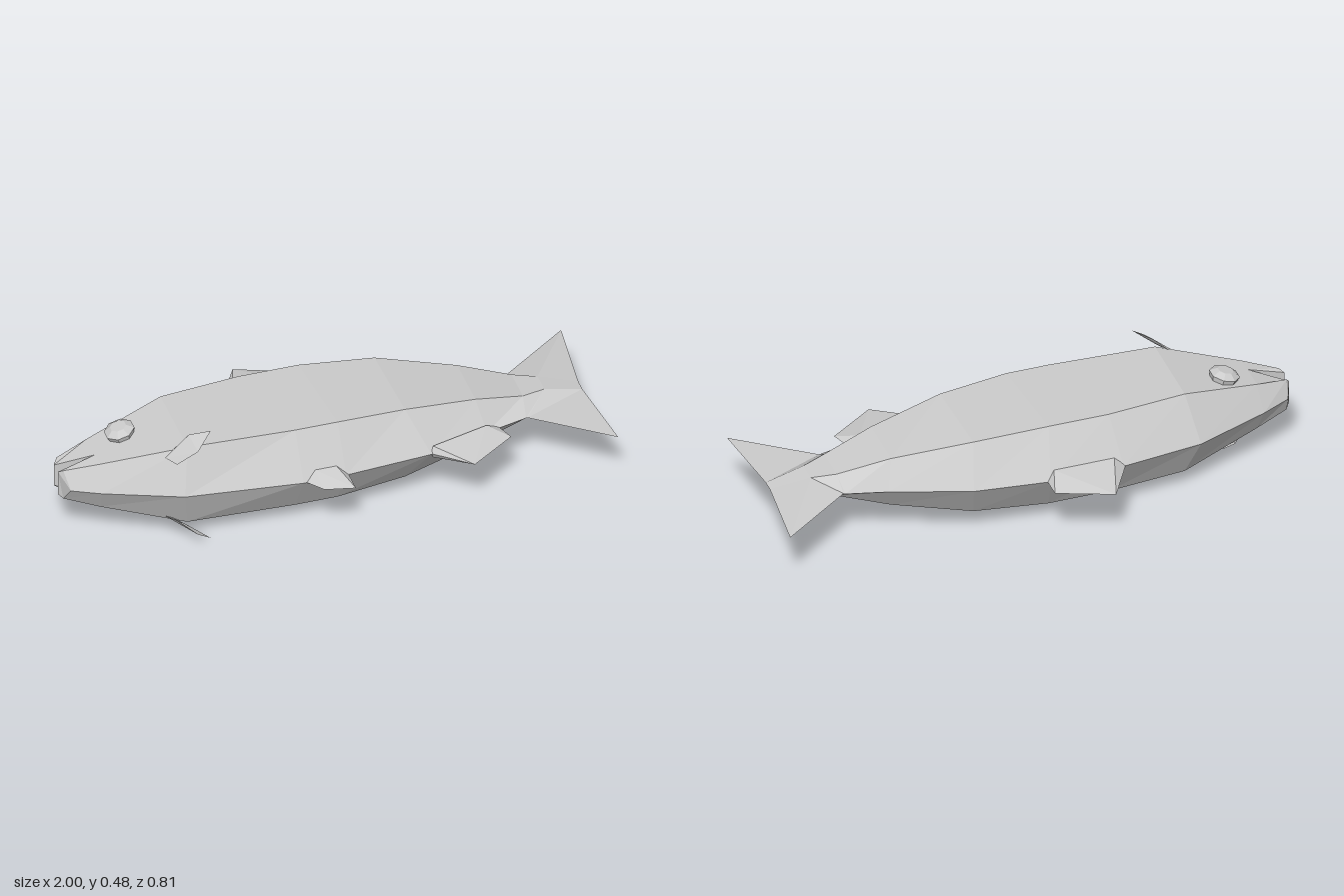
import * as THREE from 'three';
import { ConvexGeometry } from 'three/addons/geometries/ConvexGeometry.js';

const material = new THREE.MeshStandardMaterial({ color: 0xcccccc, flatShading: true, side: THREE.DoubleSide });

// Skins a list of equal-length rings running towards +x; each ring goes back -> +y -> belly -> -y.
function loft(rings, capStart, capEnd) {
  const n = rings[0].length, index = [];
  for (let r = 0; r < rings.length - 1; r++) {
    for (let k = 0; k < n; k++) {
      const a = r * n + k, b = r * n + (k + 1) % n;
      index.push(a, b, a + n, b, b + n, a + n);
    }
  }
  const last = (rings.length - 1) * n;
  for (let k = 1; k < n - 1; k++) {
    if (capStart) index.push(0, k + 1, k);
    if (capEnd) index.push(last, last + k, last + k + 1);
  }
  const g = new THREE.BufferGeometry();
  g.setAttribute('position', new THREE.Float32BufferAttribute(rings.flat(2), 3));
  g.setIndex(index);
  const flat = g.toNonIndexed();
  flat.computeVertexNormals();
  return flat;
}

// Six-sided section: back ridge, upper and lower edge of the flat flank, belly ridge.
const section = (xd, zd, xu, zu, xl, zl, xv, zv, h) => [
  [xd, 0, zd], [xu, h, zu], [xl, h, zl], [xv, 0, zv], [xl, -h, zl], [xu, -h, zu],
];

// Convex fin: a lens-shaped root that narrows to a sharp outer edge.
function finGeometry(front, back, thickFront, thickBack, half, tips) {
  const pts = [[front[0], 0, front[1]], [back[0], 0, back[1]]];
  for (const s of [1, -1]) {
    pts.push([thickFront[0], s * half, thickFront[1]], [thickBack[0], s * half, thickBack[1]]);
  }
  for (const [x, z] of tips) pts.push([x, 0, z]);
  return new ConvexGeometry(pts.map(p => new THREE.Vector3(...p)));
}

export function createModel() {
  const model = new THREE.Group();
  model.name = 'fish';
  const fish = new THREE.Group();
  fish.name = 'fishLyingOnSide';
  fish.position.y = 0.24;
  model.add(fish);

  const add = (name, geometry) => {
    const mesh = new THREE.Mesh(geometry, material);
    mesh.name = name;
    fish.add(mesh);
    return mesh;
  };

  // Body from the back of the mouth to the forked tail edge
  add('bodyAndTail', loft([
    section(-0.87, -0.10, -0.86, -0.05, -0.86, 0.11, -0.87, 0.16, 0.095),
    section(-0.59, -0.21, -0.56, -0.12, -0.56, 0.20, -0.59, 0.27, 0.167),
    section(-0.28, -0.25, -0.26, -0.15, -0.16, 0.22, -0.16, 0.32, 0.167),
    section(0.0, -0.255, -0.03, -0.15, 0.0, 0.22, 0.0, 0.32, 0.167),
    section(0.28, -0.22, 0.25, -0.13, 0.26, 0.20, 0.33, 0.295, 0.15),
    section(0.57, -0.12, 0.54, -0.06, 0.54, 0.155, 0.56, 0.23, 0.1),
    section(0.72, -0.08, 0.73, -0.015, 0.73, 0.12, 0.72, 0.19, 0.047),
    section(0.725, -0.075, 0.82, 0.01, 0.82, 0.09, 0.725, 0.19, 0.036),
    section(1.0, -0.275, 0.965, 0.04, 0.965, 0.085, 1.0, 0.4, 0.0),
  ], true, false));

  // Jaws either side of the open mouth
  add('upperJaw', loft([
    [[-0.98, 0, -0.045], [-0.985, 0.065, -0.015], [-1, 0.045, 0], [-1, -0.045, 0], [-0.985, -0.065, -0.015]],
    [[-0.87, 0, -0.10], [-0.86, 0.095, -0.05], [-0.86, 0.095, 0.05], [-0.86, -0.095, 0.05], [-0.86, -0.095, -0.05]],
  ], true, true));
  add('lowerJaw', loft([
    [[-1, 0.05, 0.05], [-0.985, 0.062, 0.065], [-0.97, 0, 0.11], [-0.985, -0.062, 0.065], [-1, -0.05, 0.05]],
    [[-0.86, 0.095, 0.05], [-0.86, 0.095, 0.11], [-0.87, 0, 0.16], [-0.86, -0.095, 0.11], [-0.86, -0.095, 0.05]],
  ], true, true));

  // Fins on the centre line
  add('dorsalFin', finGeometry([-0.29, -0.245], [0.01, -0.25], [-0.25, -0.235], [-0.02, -0.235], 0.034,
    [[-0.195, -0.41], [0.01, -0.33]]));
  add('pelvicFin', finGeometry([-0.16, 0.305], [0.01, 0.32], [-0.11, 0.30], [-0.03, 0.30], 0.034,
    [[-0.1, 0.38], [0.01, 0.405]]));
  add('analFin', finGeometry([0.33, 0.29], [0.61, 0.21], [0.34, 0.28], [0.56, 0.22], 0.025,
    [[0.46, 0.4], [0.635, 0.28]]));

  // Paired eyes and pectoral fins
  const eye = new THREE.LatheGeometry(
    [[0.05, -0.02], [0.057, 0.003], [0.03, 0.02], [0, 0.02]].map(p => new THREE.Vector2(...p)), 8, Math.PI / 8);
  const pectoral = [
    [-0.64, 0.13, 0.19], [-0.61, 0.125, 0.235], [-0.54, 0.185, 0.262],
    [-0.48, 0.24, 0.225], [-0.55, 0.21, 0.185], [-0.61, 0.15, 0.18], [-0.57, 0.165, 0.215],
  ];
  for (const [side, s] of [['right', 1], ['left', -1]]) {
    const ball = add(side + 'Eye', eye);
    ball.position.set(-0.75, s * 0.138, -0.01);
    ball.rotation.z = s > 0 ? 0.26 : Math.PI - 0.26;
    add(side + 'PectoralFin', new ConvexGeometry(pectoral.map(([x, y, z]) => new THREE.Vector3(x, s * y, z))));
  }
  return model;
}
